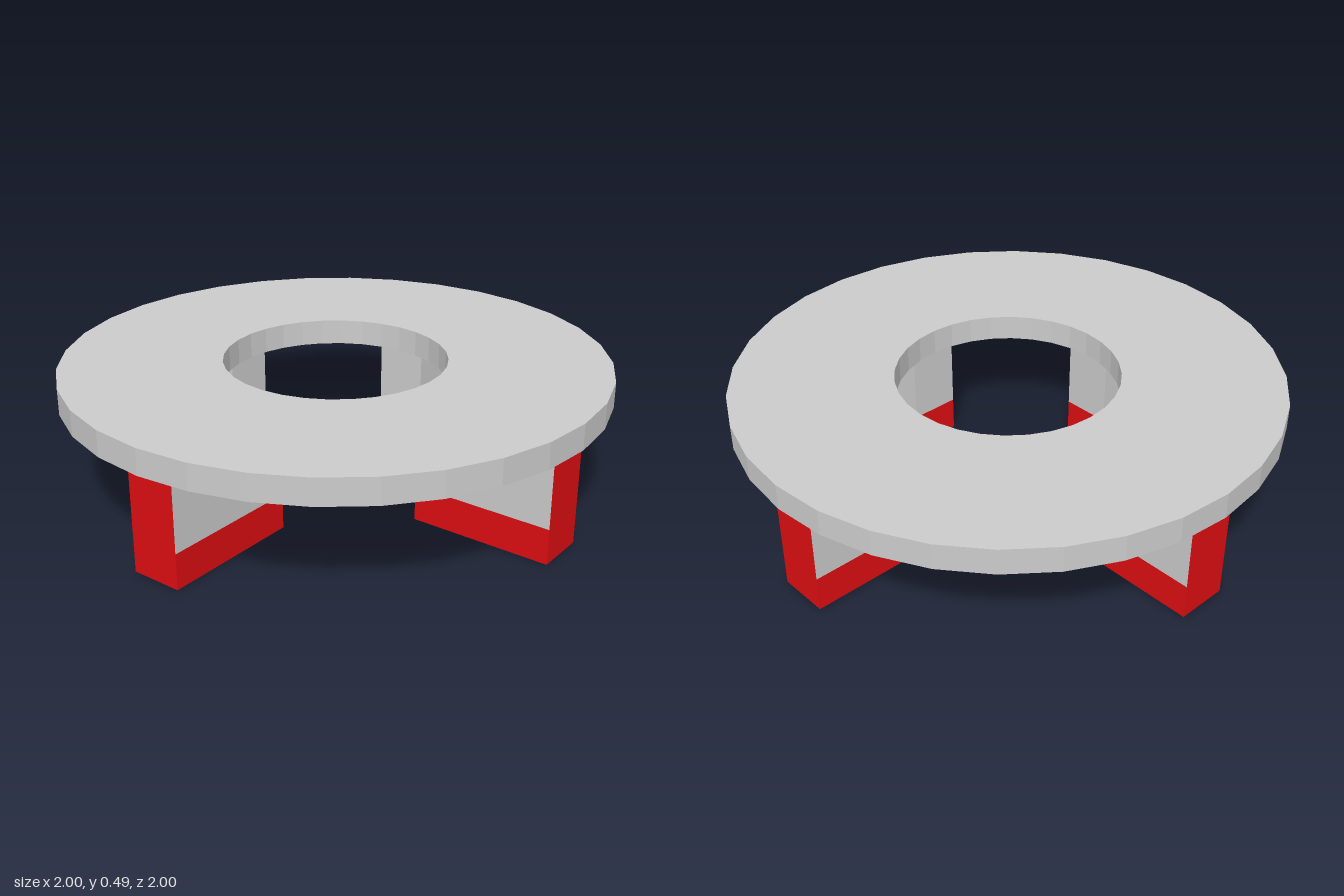
import * as THREE from 'three';

const grey = new THREE.MeshStandardMaterial({ color: 0xcccccc, flatShading: true });
const red = new THREE.MeshStandardMaterial({ color: 0xdd0e12, flatShading: true });

const INNER = 0.425, OUTER = 0.95, WIDTH = 0.19; // radial extent and thickness of a leg
const BAND = 0.13, RING_Y = 0.395, RING_TOP = 0.49;

// Box spanning a height range; materials in the order +x, -x, +y, -y, +z, -z
function legBlock(name, y0, y1, materials) {
  const geometry = new THREE.BoxGeometry(OUTER - INNER, y1 - y0, WIDTH);
  geometry.translate((INNER + OUTER) / 2, (y0 + y1) / 2, 0);
  const mesh = new THREE.Mesh(geometry, materials);
  mesh.name = name;
  return mesh;
}

export function createModel() {
  const model = new THREE.Group();
  model.name = 'ringStand';

  // Flat 32-sided ring with a round hole
  const profile = [[0.41, RING_Y], [1, RING_Y], [1, RING_TOP], [0.41, RING_TOP], [0.41, RING_Y]]
    .map(([r, y]) => new THREE.Vector2(r, y));
  const ring = new THREE.Mesh(new THREE.LatheGeometry(profile, 32), grey);
  ring.name = 'ringTop';
  model.add(ring);

  // Four radial legs: red foot band all round, red outer end
  for (let i = 0; i < 4; i++) {
    const leg = new THREE.Group();
    leg.name = `leg${i + 1}`;
    leg.add(
      legBlock('footBand', 0, BAND, [red, red, grey, grey, red, red]),
      legBlock('legBody', BAND, RING_Y, [red, grey, grey, grey, grey, grey])
    );
    leg.rotation.y = (i * Math.PI) / 2;
    model.add(leg);
  }
  return model;
}
